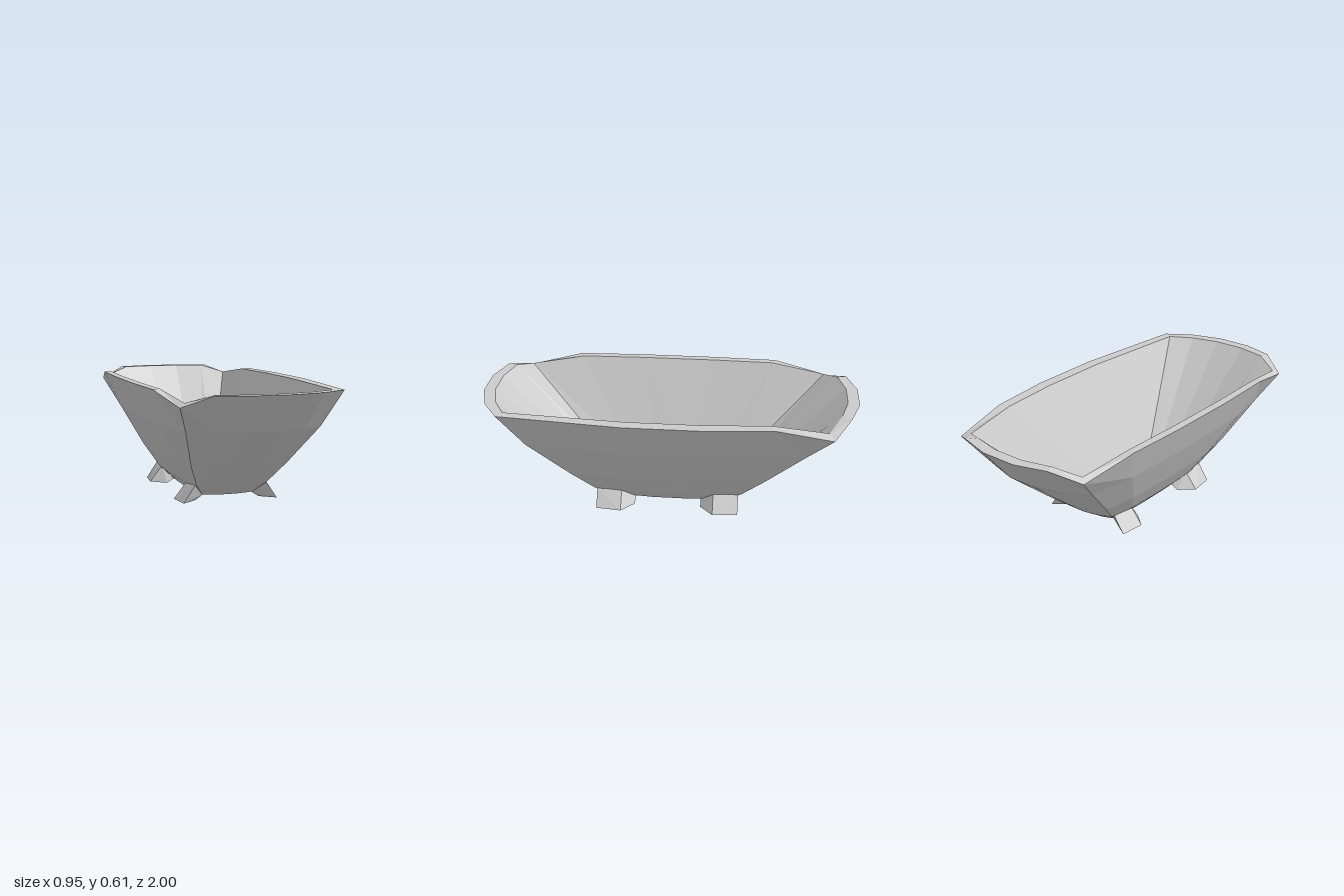
import * as THREE from 'three';
import { ConvexGeometry } from 'three/addons/geometries/ConvexGeometry.js';

const material = new THREE.MeshStandardMaterial({ color: 0xcccccc, flatShading: true });

// Bowed rectangle: corner (cx, cz), bulging to X on the long sides and Z on the ends.
function ring({ y, cx, cz, X, Z, shift = 0, dip = 0 }) {
  const points = [];
  const signs = [[1, 1], [-1, 1], [-1, -1], [1, -1]];
  signs.forEach(([sx, sz], q) => {
    const bow = sx > 0 ? 0.46 : 0.8;
    const quarter = [
      [X, 0.24 * cz, 0],
      [cx + bow * (X - cx), 0.65 * cz, 0],
      [cx, cz, q > 0 ? dip : 0], // three of the four corners are worn down
      [0.66 * cx, cz + 0.64 * (Z - cz), 0],
      [0.24 * cx, Z, 0],
    ];
    if (q % 2) quarter.reverse();
    for (const [x, z, d] of quarter) points.push([sx * x + shift, y - d, sz * z]);
  });
  return points;
}

function toMesh(name, triangles) {
  const geometry = new THREE.BufferGeometry();
  geometry.setAttribute('position', new THREE.Float32BufferAttribute(triangles.flat(), 3));
  geometry.computeVertexNormals();
  const mesh = new THREE.Mesh(geometry, material);
  mesh.name = name;
  return mesh;
}

// Skin consecutive rings with quads.
function loft(rings) {
  const tris = [];
  for (let r = 0; r + 1 < rings.length; r++) {
    const a = rings[r], b = rings[r + 1], n = a.length;
    for (let i = 0; i < n; i++) {
      const j = (i + 1) % n;
      tris.push(a[i], b[i], b[j], a[i], b[j], a[j]);
    }
  }
  return tris;
}

// Flat fan closing a ring.
function cap(points, up) {
  const centre = [0, points[0][1], 0];
  return points.flatMap((p, i) => {
    const q = points[(i + 1) % points.length];
    return up ? [centre, q, p] : [centre, p, q];
  });
}

export function createModel() {
  const group = new THREE.Group();

  const outer = [
    { y: 0.03, cx: 0.14, cz: 0.33, X: 0.16, Z: 0.36 },
    { y: 0.09, cx: 0.19, cz: 0.40, X: 0.22, Z: 0.45 },
    { y: 0.21, cx: 0.255, cz: 0.52, X: 0.295, Z: 0.6 },
    { y: 0.42, cx: 0.345, cz: 0.73, X: 0.40, Z: 0.85 },
    { y: 0.61, cx: 0.41, cz: 0.86, X: 0.475, Z: 1, dip: 0.06 },
  ].map(ring);
  const inner = [
    { y: 0.61, cx: 0.37, cz: 0.835, X: 0.42, Z: 0.94, shift: -0.01, dip: 0.04 },
    { y: 0.085, cx: 0.16, cz: 0.36, X: 0.18, Z: 0.405, shift: -0.01 },
  ].map(ring);

  group.add(
    toMesh('outerShell', [...loft(outer), ...cap(outer[0], false)]),
    toMesh('rim', loft([outer[4], inner[0]])),
    toMesh('innerWall', loft(inner)),
    toMesh('floor', cap(inner[1], true)),
  );

  // Small square drain near the back of the floor
  const drain = new THREE.Mesh(new THREE.BoxGeometry(0.035, 0.01, 0.035), material);
  drain.name = 'drain';
  drain.position.set(-0.03, 0.083, -0.28);
  group.add(drain);

  // Splayed feet, mirrored to the four corners
  const foot = [
    [0.195, 0.09, 0.385], [0.2, 0.09, 0.25],
    [0.255, 0, 0.385], [0.27, 0, 0.25],
    [0.175, 0, 0.32], [0.19, 0, 0.18],
    [0.13, 0.03, 0.32], [0.14, 0.03, 0.18],
  ];
  for (const sx of [1, -1]) {
    for (const sz of [1, -1]) {
      const points = foot.map(([x, y, z]) => new THREE.Vector3(sx * x, y, sz * z));
      const mesh = new THREE.Mesh(new ConvexGeometry(points), material);
      mesh.name = (sz > 0 ? 'front' : 'back') + (sx > 0 ? 'Left' : 'Right') + 'Foot';
      group.add(mesh);
    }
  }
  return group;
}
